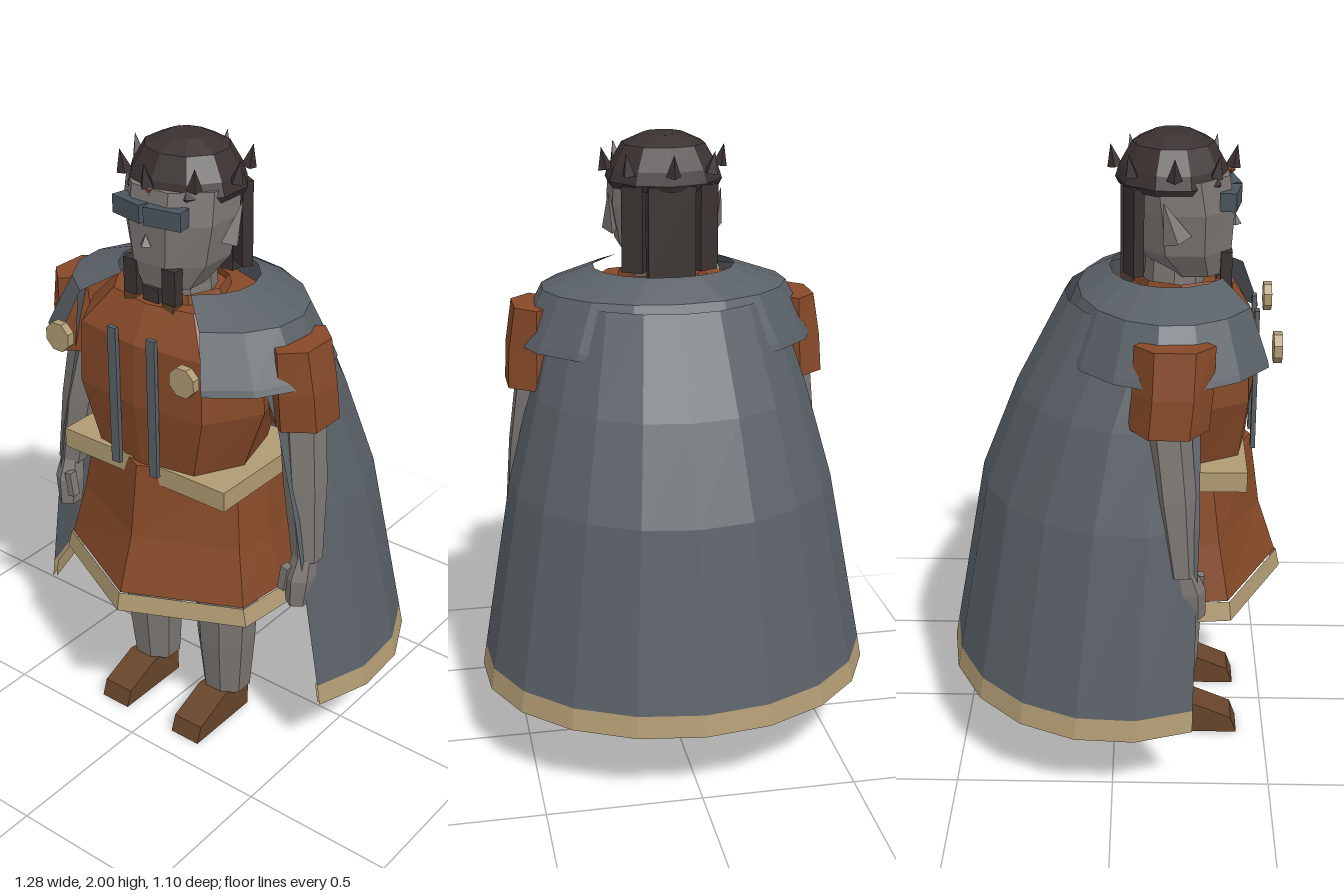
import * as THREE from 'three';

const mat = (name, color, double = false) => {
  const m = new THREE.MeshStandardMaterial({ color });
  m.name = name;
  if (double) m.side = THREE.DoubleSide;
  return m;
};

export function createModel() {
  const M = {
    tunic: mat('rust cloth', 0x864928, true),
    cloak: mat('slate cloth', 0x596066, true),
    skin: mat('stone grey', 0x7b7672),
    gold: mat('pale gold', 0xb09a72, true),
    dark: mat('dark iron', 0x3a3230),
    shoe: mat('brown leather', 0x664429),
    glass: mat('goggle blue', 0x4b555e),
  };
  const model = new THREE.Group();
  const DEG = Math.PI / 180;

  // Every surface gets one normal per face
  const add = (name, geo, material, pos = [0, 0, 0], rot = [0, 0, 0]) => {
    const g = geo.index ? geo.toNonIndexed() : geo;
    g.computeVertexNormals();
    const mesh = new THREE.Mesh(g, material);
    mesh.name = name;
    mesh.position.set(...pos);
    mesh.rotation.set(...rot);
    model.add(mesh);
    return mesh;
  };
  const box = (name, size, material, pos, rot) =>
    add(name, new THREE.BoxGeometry(...size), material, pos, rot);

  // Elliptical cross-section; angles run from the front towards +x
  const ring = (y, rx, rz, cx, cz, n, from = 0, to = 360) => {
    const closed = to - from === 360, out = [];
    for (let i = 0; i < (closed ? n : n + 1); i++) {
      const a = (from + (to - from) * i / n) * DEG;
      out.push([cx + rx * Math.sin(a), y, cz + rz * Math.cos(a)]);
    }
    return out;
  };

  // Skin over cross-sections listed from bottom to top
  const loft = (rings, closed = true, caps = closed) => {
    const n = rings[0].length, idx = [];
    for (let i = 0; i < rings.length - 1; i++) {
      for (let j = 0; j < (closed ? n : n - 1); j++) {
        const k = (j + 1) % n, a = i * n + j, b = i * n + k;
        idx.push(a, b, b + n, a, b + n, a + n);
      }
    }
    if (caps) {
      const t = (rings.length - 1) * n;
      for (let j = 1; j < n - 1; j++) idx.push(0, j + 1, j, t, t + j, t + j + 1);
    }
    const g = new THREE.BufferGeometry();
    g.setAttribute('position', new THREE.Float32BufferAttribute(rings.flat(2), 3));
    g.setIndex(idx);
    return g;
  };

  // Cloak: wide open sweep behind the body with a gold hem
  const sweep = ([y, rx, rz, cz]) => ring(y, rx, rz, 0, cz, 12, 64, 296);
  const hemTop = [0.32, 0.633, 0.547, 0.01];
  add('cloak', loft([hemTop, [0.9, 0.53, 0.483, 0.05], [1.2, 0.45, 0.4, 0.085],
    [1.5, 0.36, 0.33, 0.17]].map(sweep), false), M.cloak);
  add('cloakHem', loft([[0.25, 0.645, 0.556, 0.006], hemTop].map(sweep), false), M.gold);
  add('cloakHemInside', loft([[0.25, 0.632, 0.543, 0.006], [0.32, 0.62, 0.534, 0.01]].map(sweep), false), M.gold);

  // Shoulder mantle, open at the front
  add('mantle', loft([[1.35, 0.49, 0.36], [1.37, 0.48, 0.355], [1.52, 0.4, 0.29], [1.58, 0.23, 0.19]]
    .map(([y, rx, rz]) => ring(y, rx, rz, 0, 0.17, 14, 35, 325)), false), M.cloak);

  // Skirt with a pointed front, then its gold hem
  const skirtRing = (y, w, front, corner) => [
    [0, y, front], [w * 0.95, y, corner], [w, y, 0.19], [w * 0.9, y, 0.02], [0, y, 0.19 - (front - 0.19)],
    [-w * 0.9, y, 0.02], [-w, y, 0.19], [-w * 0.95, y, corner]];
  add('skirt', loft([skirtRing(0.59, 0.375, 0.53, 0.36), skirtRing(0.77, 0.335, 0.47, 0.33),
    skirtRing(1.01, 0.3, 0.435, 0.3)]), M.tunic);
  add('skirtHem', loft([skirtRing(0.53, 0.395, 0.548, 0.37), skirtRing(0.59, 0.38, 0.535, 0.365)], true, false), M.gold);

  // Belt: the pointed skirt covers its middle
  box('belt', [0.64, 0.065, 0.42], M.gold, [0, 0.985, 0.2]);

  // Chest and shoulders
  const chestRing = (y, w, front) => [
    [0, y, front], [w * 0.7, y, front - 0.03], [w, y, 0.24], [w * 0.8, y, 0.05], [0, y, -0.01],
    [-w * 0.8, y, 0.05], [-w, y, 0.24], [-w * 0.7, y, front - 0.03]];
  add('chest', loft([chestRing(1.0, 0.26, 0.415), chestRing(1.22, 0.34, 0.44), chestRing(1.42, 0.33, 0.435),
    chestRing(1.53, 0.22, 0.37)]), M.tunic);
  add('collar', loft([ring(1.5, 0.16, 0.15, 0, 0.2, 8), ring(1.56, 0.14, 0.14, 0, 0.2, 8)], true, false), M.tunic);

  for (const s of [1, -1]) {
    // Chest straps and cloak clasps
    box('strap', [0.032, 0.46, 0.015], M.cloak, [s * 0.075, 1.23, 0.438]);
    add('clasp', new THREE.CylinderGeometry(0.048, 0.048, 0.026, 8), M.gold,
      [s * 0.24, 1.4, 0.491], [Math.PI / 2, Math.PI / 8, 0]);

    // Sleeve, arm and hand
    add('sleeve', loft([ring(1.21, 0.1, 0.12, s * 0.432, 0.165, 6),
      ring(1.33, 0.095, 0.12, s * 0.43, 0.175, 6), ring(1.47, 0.075, 0.12, s * 0.425, 0.18, 6)]), M.tunic);
    add('arm', loft([ring(0.76, 0.05, 0.045, s * 0.487, 0.21, 6), ring(1.0, 0.068, 0.065, s * 0.455, 0.185, 6),
      ring(1.24, 0.075, 0.07, s * 0.42, 0.16, 6)]), M.skin);
    add('hand', loft([ring(0.61, 0.038, 0.045, s * 0.48, 0.24, 6), ring(0.7, 0.048, 0.05, s * 0.482, 0.235, 6),
      ring(0.78, 0.035, 0.035, s * 0.485, 0.215, 6)]), M.skin);
    box('thumb', [0.025, 0.085, 0.03], M.skin, [s * 0.445, 0.695, 0.265], [0, 0, s * -0.15]);

    // Leg and shoe
    add('leg', loft([ring(0.1, 0.08, 0.08, s * 0.153, 0.18, 8, 22.5, 382.5),
      ring(0.3, 0.1, 0.095, s * 0.155, 0.187, 8, 22.5, 382.5),
      ring(0.62, 0.117, 0.107, s * 0.158, 0.19, 8, 22.5, 382.5)]), M.skin);
    const sole = new THREE.Shape([[-0.41, 0], [-0.135, 0], [-0.135, 0.095], [-0.26, 0.11], [-0.39, 0.055]]
      .map(([x, y]) => new THREE.Vector2(x, y)));
    add('shoe', new THREE.ExtrudeGeometry(sole, { depth: 0.11, bevelEnabled: false }), M.shoe,
      [s * 0.153 + 0.055, 0, 0], [0, Math.PI / 2, 0]).rotation.y = Math.PI / 2;
    model.children.at(-1).position.x = s * 0.153 - 0.055;

    // Ear, goggle lens and braided beard strand
    add('ear', new THREE.ConeGeometry(0.045, 0.13, 4).scale(0.6, 1, 1), M.skin,
      [s * 0.175, 1.765, 0.165], [-0.35, 0, s * -0.1]);
    box('goggleLens', [0.122, 0.056, 0.05], M.glass, [s * 0.063, 1.811, 0.348], [0, s * 0.18, 0]);
    box('beardStrand', [0.05, 0.11, 0.035], M.dark, [s * 0.073, 1.595, 0.338]);
    box('beardClip', [0.04, 0.03, 0.04], M.shoe, [s * 0.073, 1.527, 0.34]);
    // Hair strands beside the back of the head
    box('sideHair', [0.07, 0.27, 0.035], M.dark, [s * 0.115, 1.72, 0.055], [0, s * -0.5, 0]);
  }
  box('chinStrand', [0.06, 0.06, 0.04], M.dark, [0, 1.545, 0.33]);
  box('chinClip', [0.06, 0.03, 0.045], M.shoe, [0, 1.505, 0.345]);
  box('backHair', [0.15, 0.31, 0.04], M.dark, [0, 1.7, 0.035]);

  // Neck, head and nose
  add('neck', new THREE.CylinderGeometry(0.085, 0.1, 0.2, 8), M.skin, [0, 1.55, 0.18]);
  const headRing = (y, rx, rz, cz) => ring(y, rx, rz, 0, cz, 8, 22.5, 382.5);
  add('head', loft([headRing(1.57, 0.1, 0.1, 0.245), headRing(1.65, 0.155, 0.155, 0.21),
    headRing(1.78, 0.182, 0.168, 0.205), headRing(1.88, 0.178, 0.165, 0.19)]), M.skin);
  add('nose', new THREE.ConeGeometry(0.02, 0.035, 4), M.skin, [0, 1.73, 0.365]);

  // Domed cap with rim, gem and a crown of spikes
  add('cap', loft([[1.84, 0.178], [1.86, 0.188], [1.9, 0.175], [1.97, 0.133], [2.0, 0.066]]
    .map(([y, r]) => ring(y, r, r * 0.93, 0, 0.172, 10))), M.dark);
  add('gem', new THREE.OctahedronGeometry(0.015), M.tunic, [0, 1.882, 0.348]);
  for (let i = 0; i < 8; i++) {
    const a = i * 45 * DEG;
    const spike = add('spike', new THREE.ConeGeometry(0.024, 0.07, 4), M.dark,
      [0.19 * Math.sin(a), 1.925, 0.175 + 0.185 * Math.cos(a)]);
    spike.rotation.set(0.2, a, 0, 'YXZ');
  }
  return model;
}
